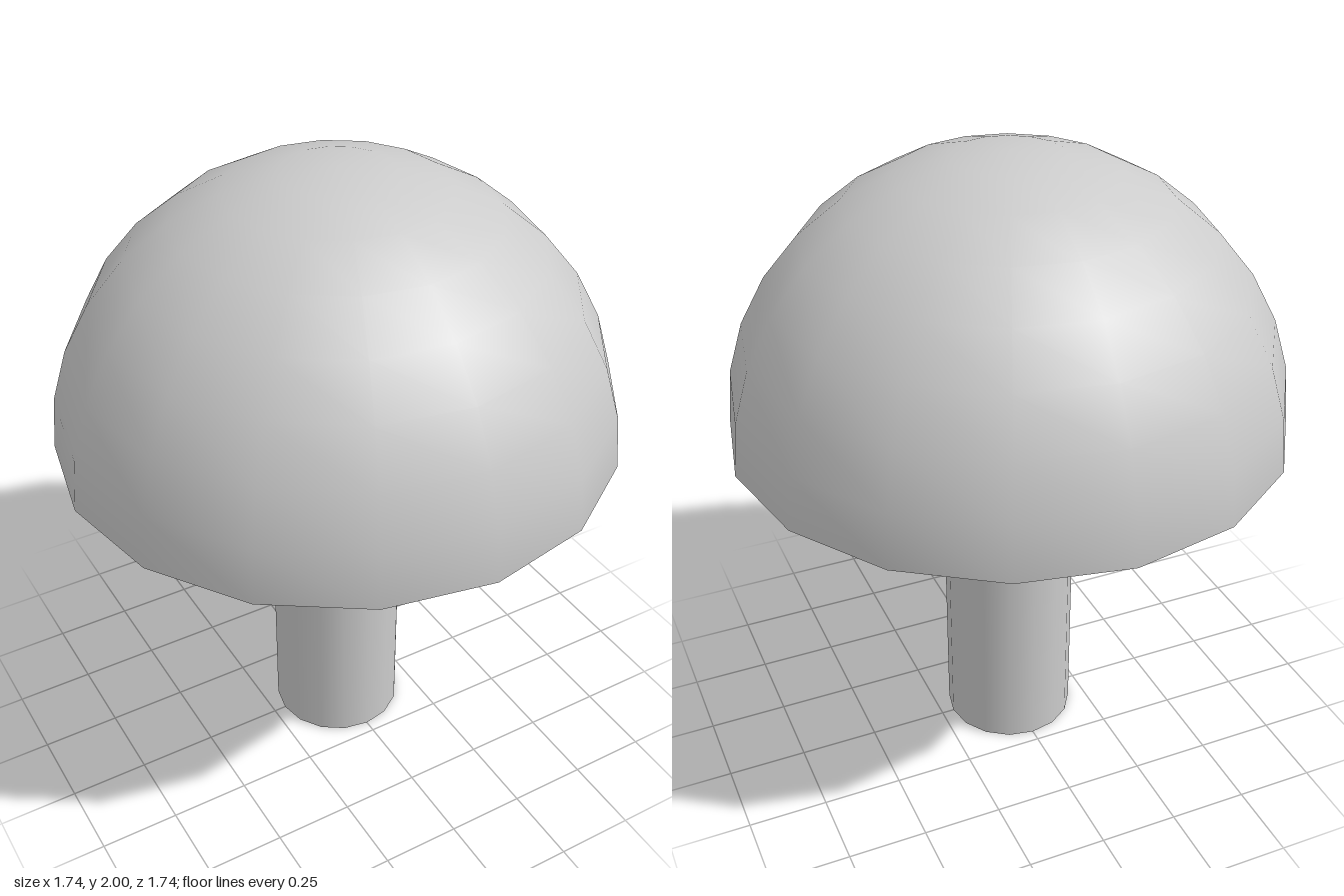
import * as THREE from 'three';

const SEGMENTS = 16;
const CAP_RADIUS = 0.87;
const STEM_RADIUS = 0.21;
const STEM_HEIGHT = 2 - CAP_RADIUS;

export function createModel() {
  const group = new THREE.Group();
  group.name = 'mushroom';
  const material = new THREE.MeshStandardMaterial({ color: 0xcccccc });

  const add = (name, geometry, y) => {
    const mesh = new THREE.Mesh(geometry, material);
    mesh.name = name;
    mesh.position.y = y;
    group.add(mesh);
    return mesh;
  };

  // Stem
  add('stem', new THREE.CylinderGeometry(STEM_RADIUS, STEM_RADIUS, STEM_HEIGHT, SEGMENTS), STEM_HEIGHT / 2);

  // Domed cap: upper half of a sphere
  add('cap', new THREE.SphereGeometry(CAP_RADIUS, SEGMENTS, 8, 0, Math.PI * 2, 0, Math.PI / 2), STEM_HEIGHT);

  // Flat underside closing the cap, facing down
  add('capUnderside', new THREE.CircleGeometry(CAP_RADIUS, SEGMENTS).rotateX(Math.PI / 2), STEM_HEIGHT);

  return group;
}
